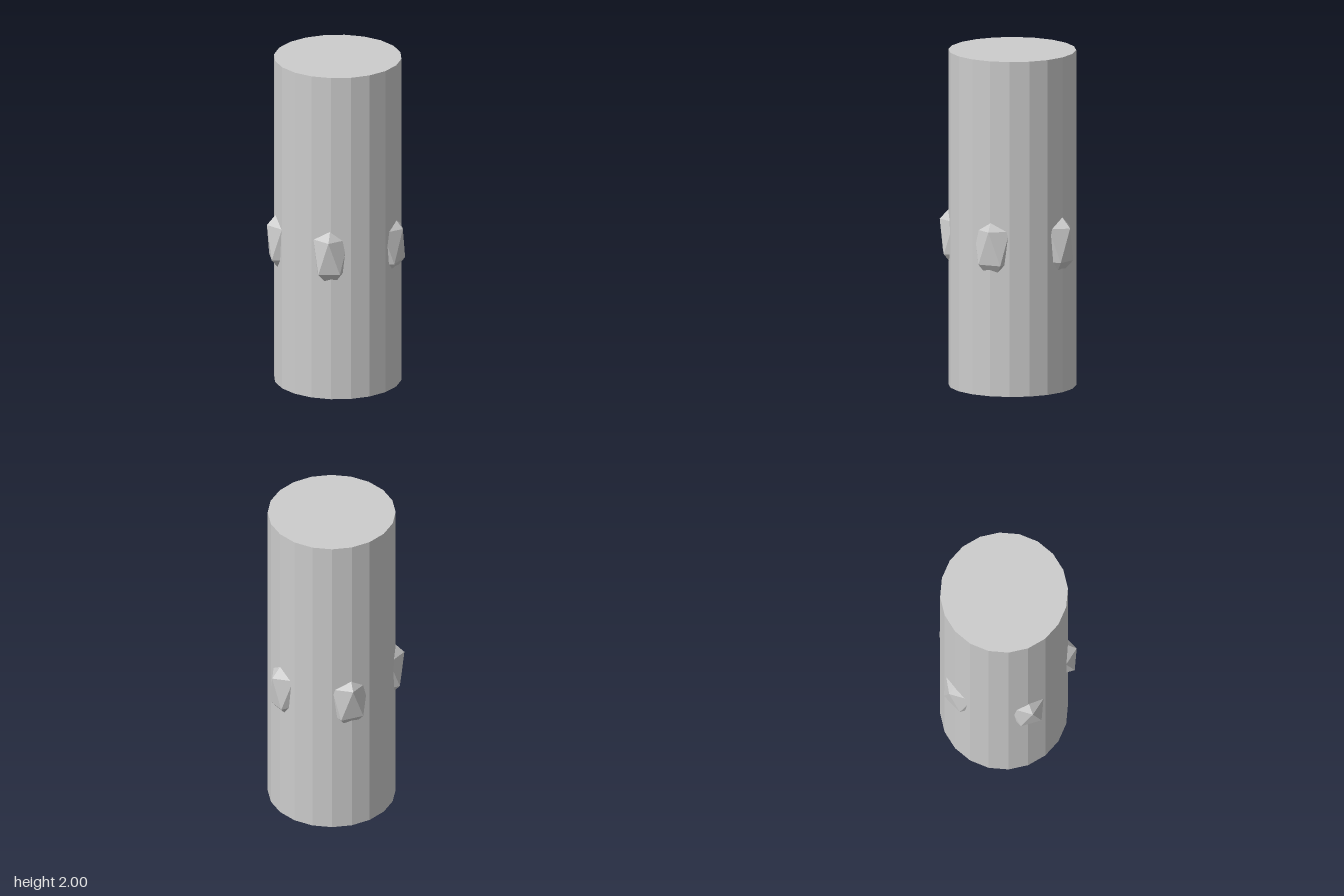
import * as THREE from 'three';

export function createModel() {
  const model = new THREE.Group();
  const grey = new THREE.MeshStandardMaterial({ color: 0xcccccc, flatShading: true });
  grey.name = 'plain grey';
  const axisX = -0.029; // the trunk sits slightly off centre, balancing the knob at +x

  // Twenty-sided column
  const column = new THREE.Mesh(new THREE.CylinderGeometry(0.375, 0.375, 2, 20), grey);
  column.name = 'column';
  column.position.set(axisX, 1, 0);
  model.add(column);

  // Stretched icosahedron, turned to stand on a corner, with an upper corner towards +x
  const knobGeometry = new THREE.IcosahedronGeometry(1, 0);
  knobGeometry.rotateZ(-Math.atan(2 / (1 + Math.sqrt(5))));
  knobGeometry.scale(0.134, 0.224, 0.112);

  // Five half-sunk knobs around the column, all facing the same way
  const knobs = new THREE.Group();
  knobs.name = 'knobs';
  for (let i = 0; i < 5; i++) {
    const angle = (i / 5) * Math.PI * 2;
    const knob = new THREE.Mesh(knobGeometry, grey);
    knob.name = `knob${i + 1}`;
    knob.position.set(axisX + 0.313 * Math.cos(angle), 0.885, 0.313 * Math.sin(angle));
    knobs.add(knob);
  }
  model.add(knobs);
  return model;
}
